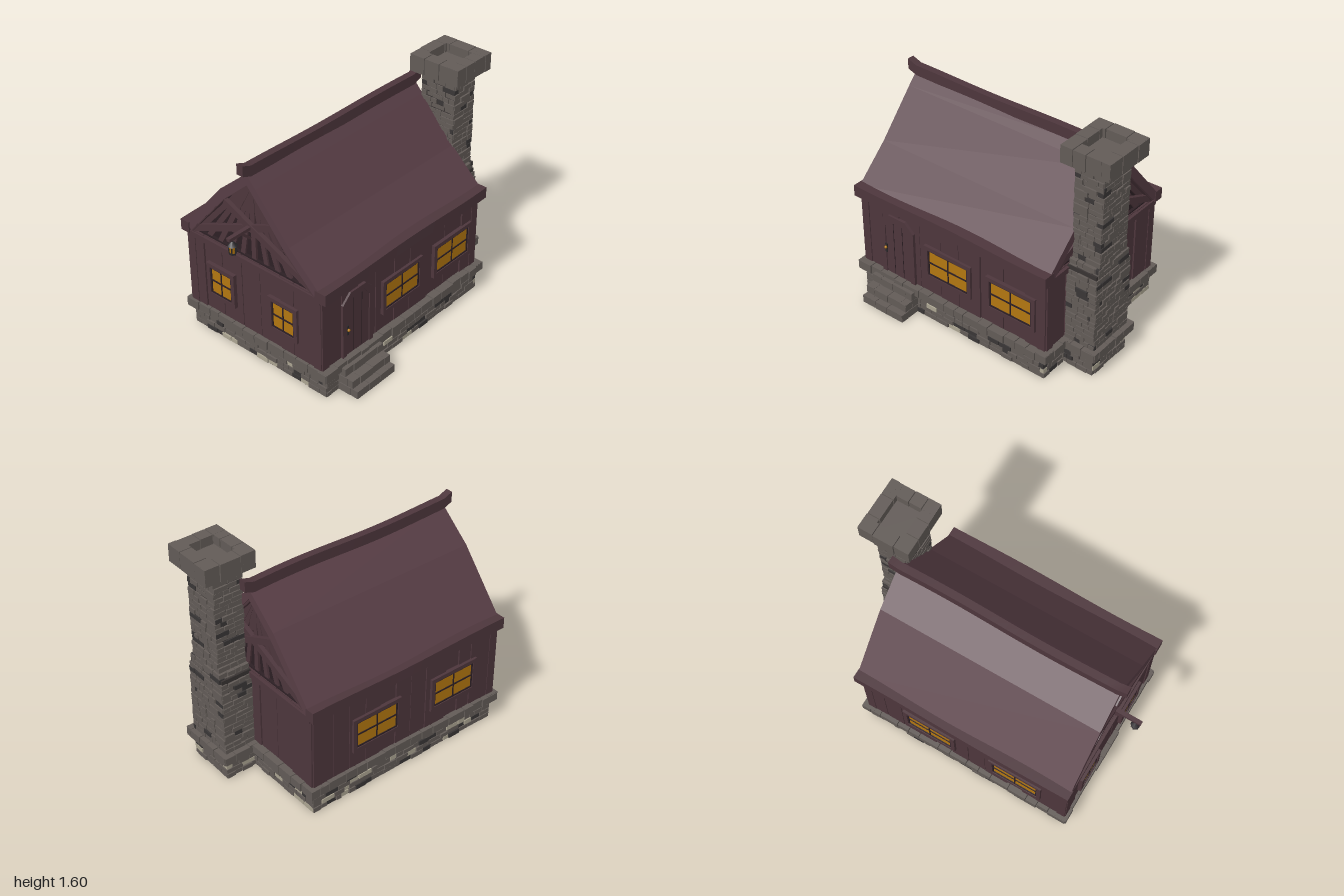
import * as THREE from 'three';
import { mergeGeometries } from 'three/addons/utils/BufferGeometryUtils.js';

const material = (name, color, side = THREE.FrontSide) => {
  const m = new THREE.MeshStandardMaterial({ color, side });
  m.name = name;
  return m;
};

export function createModel() {
  const M = {
    roof: material('roofPlum', 0x573d45),
    wood: material('wallWood', 0x4d363c),
    gap: material('darkWood', 0x2c1f24),
    stone: material('greyStone', 0x625b57),
    dark: material('darkBrick', 0x393636),
    pale: material('paleBrick', 0xaba491),
    mortar: material('mortar', 0x383332),
    glass: material('amberGlass', 0xb27610),
    iron: material('iron', 0x2b282b),
  };
  const root = new THREE.Group();
  root.name = 'cottage';
  let seed = 7;
  const rnd = (a = 0, b = 1) => {
    seed = (seed * 16807) % 2147483647;
    return a + (b - a) * (seed / 2147483647);
  };
  const group = (name, parent = root) => {
    const g = new THREE.Group();
    g.name = name;
    parent.add(g);
    return g;
  };
  const mesh = (name, geo, mat, parent = root) => {
    const m = new THREE.Mesh(geo, mat);
    m.name = name;
    parent.add(m);
    return m;
  };
  // box given by its limits
  const span = (x0, x1, y0, y1, z0, z1, sx = 1) =>
    new THREE.BoxGeometry(x1 - x0, y1 - y0, z1 - z0, sx).translate((x0 + x1) / 2, (y0 + y1) / 2, (z0 + z1) / 2);
  // square timber between two points in the z-y plane
  const timber = (x, z1, y1, z2, y2, w, d) =>
    new THREE.BoxGeometry(d, w, Math.hypot(z2 - z1, y2 - y1))
      .rotateX(-Math.atan2(y2 - y1, z2 - z1))
      .translate(x, (y1 + y2) / 2, (z1 + z2) / 2);

  // one rectangular ring of stones, sorted into colour piles
  function course(piles, [x0, x1, z0, z1], y, h, depth, [lMin, lMax], odds, gap = 0.005, wobble = 0.005) {
    for (let side = 0; side < 4; side++) {
      const alongX = side < 2;
      const a0 = alongX ? x0 : z0, a1 = alongX ? x1 : z1;
      let a = a0;
      while (a < a1 - 0.001) {
        let b = a + rnd(lMin, lMax);
        if (a1 - b < lMin * 0.6) b = a1;
        const out = rnd(-wobble, wobble), r = rnd();
        const bit = new THREE.BoxGeometry(
          alongX ? b - a - gap : depth, h - gap + rnd(-wobble, wobble) * 0.6, alongX ? depth : b - a - gap);
        const m = (a + b) / 2, yy = y + h / 2;
        if (side === 0) bit.translate(m, yy, z1 - depth / 2 + out);
        if (side === 1) bit.translate(m, yy, z0 + depth / 2 - out);
        if (side === 2) bit.translate(x1 - depth / 2 + out, yy, m);
        if (side === 3) bit.translate(x0 + depth / 2 - out, yy, m);
        piles[r < odds[0] ? 'dark' : r < odds[0] + odds[1] ? 'pale' : 'stone'].push(bit);
        a = b;
      }
    }
  }
  const newPiles = () => ({ stone: [], dark: [], pale: [] });
  const flush = (piles, name, parent) => {
    for (const k in piles) if (piles[k].length) mesh(`${name}_${k}`, mergeGeometries(piles[k]), M[k], parent);
  };

  // foundation: mortar core, brick courses and rough coping stones
  const foundation = group('foundation');
  mesh('foundationCore', span(-0.79, 0.69, 0.004, 0.18, -0.62, 0.51), M.mortar, foundation);
  mesh('underside', span(-0.795, 0.695, 0, 0.004, -0.625, 0.515), M.gap, foundation);
  mesh('chimneyFootCore', span(0.66, 0.91, 0, 0.18, -0.03, 0.3), M.mortar, foundation);
  const base = newPiles();
  for (let i = 0; i < 4; i++) {
    course(base, [-0.8, 0.7, -0.63, 0.52], i * 0.036, 0.036, 0.04, [0.04, 0.11], [0.14, 0.12]);
    course(base, [0.66, 0.92, -0.04, 0.31], i * 0.036, 0.036, 0.04, [0.04, 0.1], [0.14, 0.12]);
  }
  course(base, [-0.835, 0.735, -0.66, 0.55], 0.142, 0.064, 0.09, [0.07, 0.15], [0, 0], 0.005, 0.007);
  course(base, [0.66, 0.955, -0.075, 0.345], 0.142, 0.064, 0.08, [0.07, 0.13], [0, 0], 0.005, 0.007);
  flush(base, 'foundationStones', foundation);

  // front steps
  const steps = newPiles();
  [[0.675, 0], [0.635, 0.06], [0.575, 0.118]].forEach(([z, y]) => {
    course(steps, [-0.69, -0.34, 0.5, z], y, 0.058, 0.07, [0.06, 0.12], [0, 0], 0.004, 0.003);
    steps.stone.push(span(-0.68, -0.35, y + 0.002, y + 0.052, 0.48, z - 0.01));
  });
  flush(steps, 'steps', group('frontSteps'));

  // chimney shaft, wider below
  const chimney = group('chimney');
  mesh('lowerShaftCore', span(0.7, 0.915, 0.18, 0.76, -0.03, 0.3), M.mortar, chimney);
  mesh('upperShaftCore', span(0.715, 0.91, 0.7, 1.5, 0.01, 0.26), M.mortar, chimney);
  const shaft = newPiles();
  for (let i = 0; i < 36; i++) {
    const y = 0.2 + i * 0.0356;
    const t = y < 0.72 ? 0 : y < 0.78 ? 0.5 : 1;
    course(shaft, [0.7 + 0.01 * t, 0.925 - 0.007 * t, -0.04 + 0.04 * t, 0.31 - 0.04 * t],
      y, 0.0356, 0.04, [0.04, 0.11], [0.09, 0]);
  }
  course(shaft, [0.645, 0.997, -0.05, 0.33], 1.478, 0.122, 0.085, [0.09, 0.15], [0, 0], 0.005, 0.003);
  shaft.stone.push(span(0.7, 0.93, 1.49, 1.535, 0, 0.27));
  flush(shaft, 'chimneyStones', chimney);

  // walls: dark core clad with uneven boards
  const walls = group('walls');
  mesh('wallCore', span(-0.8, 0.685, 0.18, 0.76, -0.615, 0.485), M.gap, walls);
  function cladding(name, length, x, z, turn) {
    const boards = [];
    let a = -length / 2;
    while (a < length / 2 - 0.001) {
      let b = a + rnd(0.1, 0.19);
      if (length / 2 - b < 0.07) b = length / 2;
      boards.push(span(a, b - 0.005, 0.18, 0.75, -0.02, rnd(0.006, 0.016)));
      a = b;
    }
    for (const s of [-1, 1]) boards.push(span(s * length / 2 - 0.03, s * length / 2 + 0.03, 0.18, 0.75, -0.03, 0.02));
    const m = mesh(name, mergeGeometries(boards), M.wood, walls);
    m.position.set(x, 0, z);
    m.rotation.y = turn;
  }
  cladding('frontBoards', 1.45, -0.06, 0.485, 0);
  cladding('backBoards', 1.45, -0.06, -0.615, Math.PI);
  cladding('leftBoards', 1.06, 0.685, -0.065, Math.PI / 2);
  cladding('rightBoards', 1.06, -0.8, -0.065, -Math.PI / 2);

  // four-pane windows
  function windowUnit(name, w, h, x, z, turn) {
    const g = group(name);
    g.position.set(x, 0.447, z);
    g.rotation.y = turn;
    const ring = (W, H, t, d) => [
      span(-W / 2, W / 2, H / 2 - t, H / 2, 0, d), span(-W / 2, W / 2, -H / 2, -H / 2 + t, 0, d),
      span(-W / 2, -W / 2 + t, -H / 2, H / 2, 0, d), span(W / 2 - t, W / 2, -H / 2, H / 2, 0, d)];
    mesh('windowFrame', mergeGeometries(ring(w, h, 0.028, 0.03)), M.wood, g);
    mesh('sashAndBars', mergeGeometries([...ring(w - 0.054, h - 0.054, 0.01, 0.024),
      span(-0.004, 0.004, -h / 2 + 0.03, h / 2 - 0.03, 0, 0.023),
      span(-w / 2 + 0.03, w / 2 - 0.03, -0.005, 0.005, 0, 0.023)]), M.gap, g);
    mesh('glass', span(-w / 2 + 0.03, w / 2 - 0.03, -h / 2 + 0.03, h / 2 - 0.03, 0.01, 0.018), M.glass, g);
  }
  for (const x of [-0.077, 0.43]) windowUnit('frontWindow', 0.385, 0.25, x, 0.488, 0);
  for (const x of [0.2, -0.44]) windowUnit('backWindow', 0.385, 0.25, x, -0.618, Math.PI);
  for (const z of [-0.34, 0.19]) windowUnit('sideWindow', 0.24, 0.25, -0.803, z, -Math.PI / 2);

  // arched door with frame, boards and handle
  const door = group('door');
  const arch = (C, w, top) => {
    const s = new C();
    s.moveTo(-w, 0.2);
    s.lineTo(w, 0.2);
    s.lineTo(w, top - 0.065);
    s.lineTo(w * 0.5, top);
    s.lineTo(-w * 0.5, top);
    s.lineTo(-w, top - 0.065);
    s.closePath();
    return s;
  };
  const surround = arch(THREE.Shape, 0.14, 0.667);
  surround.holes.push(arch(THREE.Path, 0.105, 0.63));
  const extrude = (s, depth) => new THREE.ExtrudeGeometry(s, { depth, bevelEnabled: false });
  mesh('doorFrame', extrude(surround, 0.03).translate(-0.502, 0, 0.485), M.wood, door);
  mesh('doorLeaf', extrude(arch(THREE.Shape, 0.106, 0.631), 0.022).translate(-0.502, 0, 0.485), M.wood, door);
  for (const x of [-0.54, -0.465]) mesh('doorSeam', span(x, x + 0.004, 0.21, 0.61, 0.505, 0.509), M.gap, door);
  mesh('handlePlate', span(-0.609, -0.593, 0.365, 0.435, 0.512, 0.519), M.iron, door);
  mesh('handleKnob', new THREE.SphereGeometry(0.01, 10, 8).translate(-0.601, 0.405, 0.524), M.glass, door);

  // roof shell swept along x
  const roof = group('roof');
  const prism = (pts, x0, x1) =>
    extrude(new THREE.Shape(pts.map(p => new THREE.Vector2(...p))), x1 - x0).rotateY(-Math.PI / 2).translate(x1, 0, 0);
  mesh('roofShell', prism([[0.5, 0.785], [0.26, 1.008], [0, 1.3], [-0.07, 1.375], [-0.3, 1.18], [-0.63, 0.785],
    [-0.585, 0.755], [-0.27, 1.12], [-0.07, 1.3], [0, 1.22], [0.22, 0.965], [0.45, 0.75]], -0.825, 0.72), M.roof, roof);
  // hewn beams along eaves and ridge, bent by a gentle wave
  function hewn(name, x0, x1, y0, y1, z0, z1, lift, mat) {
    const g = span(x0, x1, y0, y1, z0, z1, 24), p = g.attributes.position;
    for (let i = 0; i < p.count; i++) {
      const x = p.getX(i), e = Math.max(0, Math.abs((2 * x - x0 - x1) / (x1 - x0)) - 0.93) / 0.07;
      p.setY(i, p.getY(i) + 0.006 * Math.sin(x * 5 + z0 * 3) + lift * e);
      p.setZ(i, p.getZ(i) + 0.004 * Math.sin(x * 4));
    }
    g.computeVertexNormals();
    mesh(name, g, mat, roof);
  }
  hewn('frontEave', -0.833, 0.724, 0.728, 0.806, 0.46, 0.546, 0, M.wood);
  hewn('backEave', -0.833, 0.724, 0.728, 0.806, -0.67, -0.6, 0, M.wood);
  hewn('ridgeBeam', -0.872, 0.765, 1.355, 1.428, -0.1, -0.05, 0.026, M.wood);

  // gables: recessed backing, fanned boards, rafters and scissor braces
  for (const s of [-1, 1]) {
    const g = group(s < 0 ? 'rightGable' : 'leftGable');
    const wall = s < 0 ? -0.77 : 0.655, face = s < 0 ? -0.8 : 0.69;
    mesh('gableBacking', prism([[0.46, 0.74], [-0.07, 1.33], [-0.28, 1.13], [-0.6, 0.74]], wall - 0.01, wall + 0.01), M.gap, g);
    const fan = [];
    for (let i = 0; i < 11; i++) {
      const z = -0.555 + i * 0.098;
      fan.push(timber(wall + s * 0.012, z, 0.755, -0.065 + (z + 0.065) * 0.07, 1.27, 0.036, 0.02 + 0.004 * (i % 3)));
    }
    mesh('fanBoards', mergeGeometries(fan), M.wood, g);
    mesh('trussTimbers', mergeGeometries([
      timber(face, -0.07, 1.325, 0.235, 0.985, 0.06, 0.045),
      timber(face, 0.22, 0.985, 0.47, 0.765, 0.06, 0.045),
      timber(face, -0.07, 1.325, -0.285, 1.145, 0.06, 0.045),
      timber(face, -0.28, 1.15, -0.6, 0.77, 0.06, 0.045),
      timber(face, -0.59, 0.765, 0.14, 1.08, 0.045, 0.03),
      timber(face + s * 0.008, 0.46, 0.765, -0.28, 1.095, 0.045, 0.03),
      timber(face, -0.62, 0.725, 0.49, 0.725, 0.04, 0.05),
    ]), M.wood, g);
  }

  // bracket and hanging lantern
  const lantern = group('lantern');
  const brace = new THREE.BoxGeometry(0.1, 0.016, 0.02).rotateZ(-0.75).translate(-0.855, 0.96, -0.07);
  mesh('bracket', mergeGeometries([span(-0.997, -0.78, 0.99, 1.012, -0.084, -0.056), brace]), M.wood, lantern);
  const lx = -0.963;
  const tier = (name, r0, r1, y0, y1, mat) => mesh(name,
    new THREE.CylinderGeometry(r1, r0, y1 - y0, 6).translate(lx, (y0 + y1) / 2, -0.07), mat, lantern);
  tier('hook', 0.004, 0.004, 0.97, 0.992, M.iron);
  tier('lanternCap', 0.034, 0.008, 0.946, 0.976, M.iron);
  tier('lanternGlass', 0.019, 0.025, 0.896, 0.946, M.glass);
  tier('lanternBase', 0.023, 0.023, 0.886, 0.897, M.iron);
  for (let i = 0; i < 6; i++) {
    const a = (i * Math.PI) / 3;
    mesh('lanternBar', new THREE.BoxGeometry(0.006, 0.052, 0.006)
      .translate(lx + Math.sin(a) * 0.023, 0.921, -0.07 + Math.cos(a) * 0.023), M.iron, lantern);
  }
  return root;
}
